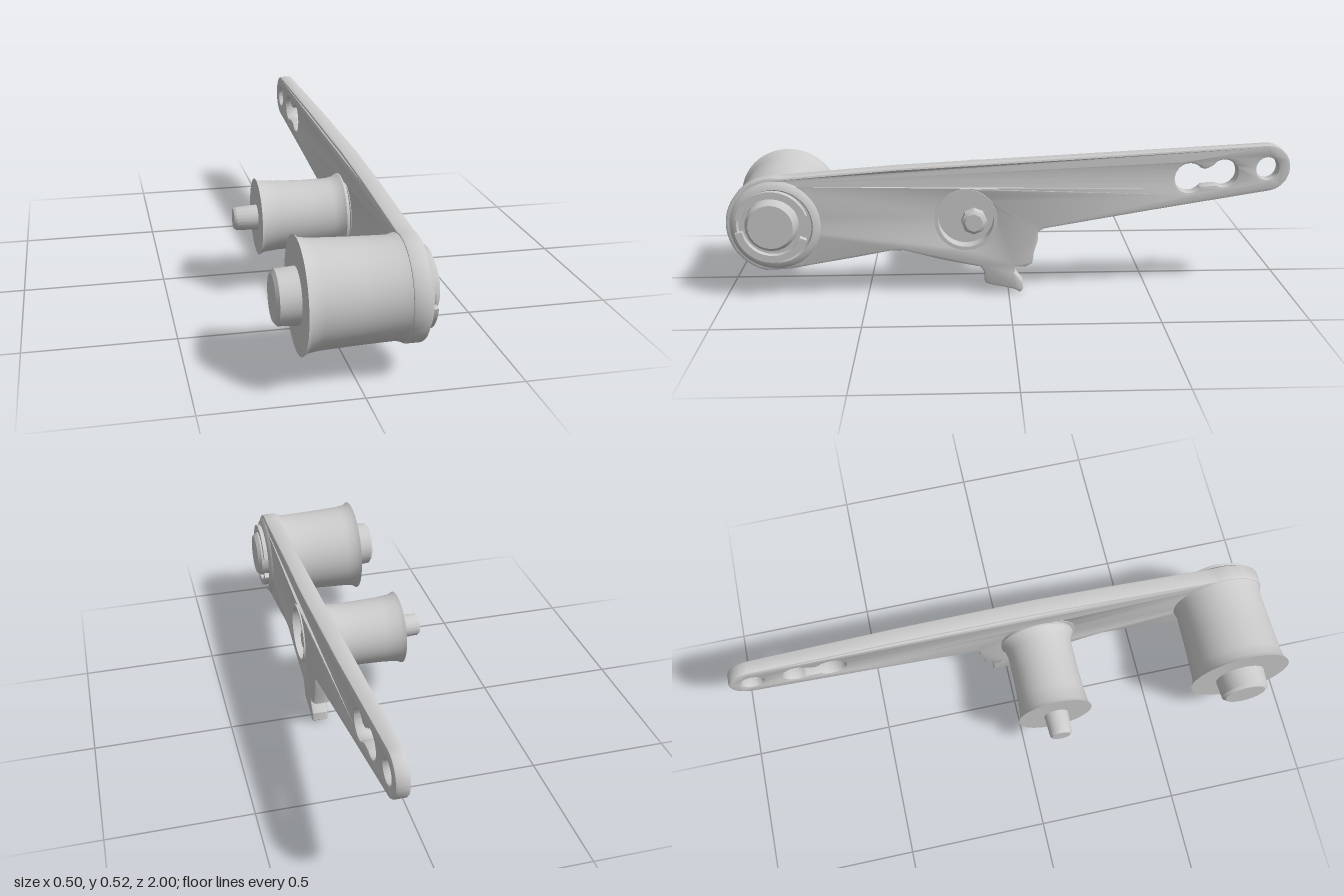
import * as THREE from 'three';
import { toCreasedNormals } from 'three/addons/utils/BufferGeometryUtils.js';

const material = new THREE.MeshStandardMaterial({ color: 0xcccccc });

function part(name, geometry, crease = 0.6) {
  const mesh = new THREE.Mesh(toCreasedNormals(geometry, crease), material);
  mesh.name = name;
  return mesh;
}

// Turned part along the x axis; profile is a list of [x, radius]
function turned(name, profile, y, z, sides = 40) {
  const g = new THREE.LatheGeometry(profile.map(([x, r]) => new THREE.Vector2(r, x)), sides);
  g.rotateZ(-Math.PI / 2);
  g.translate(0, y, z);
  return part(name, g);
}

function circleHole(s, y, r) {
  return new THREE.Path().absarc(s, y, r, 0, Math.PI * 2, true);
}

// Arm outline, drawn with s = -z to the right and y up
function armShape() {
  const shape = new THREE.Shape();
  shape.moveTo(-0.77, 0.1);
  [[-0.7, 0.113], [-0.55, 0.138], [-0.42, 0.162], [-0.37, 0.163], [-0.25, 0.13], [-0.15, 0.108], [-0.1, 0.098],
    [-0.088, 0.08], [-0.085, 0.04], [-0.07, 0.032], [0.02, 0.012], [0.04, 0.0], [0.052, 0.01],
    [0.05, 0.04], [0.022, 0.075], [0.025, 0.095], [0.06, 0.095], [0.085, 0.108], [0.09, 0.15],
    [0.103, 0.19], [0.105, 0.225], [0.125, 0.237], [0.5, 0.295]].forEach(([s, y]) => shape.lineTo(s, y));
  shape.absarc(0.916, 0.441, 0.084, -Math.PI * 0.45, Math.PI * 0.52, false);
  [[0.4, 0.502], [-0.1, 0.479], [-0.4, 0.463], [-0.75, 0.436]].forEach(([s, y]) => shape.lineTo(s, y));
  shape.absarc(-0.815, 0.263, 0.172, Math.PI * 0.45, Math.PI * 1.42, false);
  shape.closePath();

  // Two-lobed slot
  const slot = new THREE.Path();
  slot.absarc(0.64, 0.411, 0.053, -0.7, 0.75, true);
  slot.quadraticCurveTo(0.7, 0.436, 0.728, 0.46);
  slot.absarc(0.762, 0.426, 0.049, 2.35, -2.1, true);
  slot.quadraticCurveTo(0.7, 0.384, 0.68, 0.377);
  shape.holes.push(slot, circleHole(0.918, 0.44, 0.04), circleHole(-0.15, 0.275, 0.105));
  return shape;
}

function arm() {
  const bevel = 0.008, inner = 0.142, outer = 0.202;
  const g = new THREE.ExtrudeGeometry(armShape(), {
    depth: outer - inner - 2 * bevel, bevelThickness: bevel, bevelSize: bevel,
    bevelOffset: -bevel, bevelSegments: 2, curveSegments: 20,
  });
  g.rotateY(Math.PI / 2);
  g.translate(inner + bevel, 0, 0);
  // Lean the tail slightly sideways and thin it
  const p = g.attributes.position;
  for (let i = 0; i < p.count; i++) {
    const t = Math.max(0, -p.getZ(i) - 0.08) / 0.92;
    p.setX(i, p.getX(i) - t * (0.026 + 0.012 * (p.getX(i) - inner) / (outer - inner)));
  }
  return part('arm', g, 0.5);
}

// Raised curved rib on the face of the front hub
function hubRib(start, end) {
  const s = new THREE.Shape();
  s.absarc(0, 0, 0.128, start, end, false);
  s.absarc(0, 0, 0.103, end, start, true);
  const g = new THREE.ExtrudeGeometry(s, { depth: 0.03, bevelEnabled: false, curveSegments: 16 });
  g.rotateY(Math.PI / 2);
  g.translate(0.2, 0.263, 0.825);
  return part('hubRib', g);
}

export function createModel() {
  const group = new THREE.Group();
  group.add(arm());

  // Large front drum with its hub face and end cap
  group.add(turned('frontDrum', [[-0.17, 0], [-0.17, 0.184], [-0.155, 0.174], [-0.12, 0.169], [0, 0.164],
    [0.12, 0.161], [0.145, 0.168], [0.17, 0.172], [0.195, 0.165], [0.212, 0.148], [0.216, 0.132],
    [0.205, 0.126], [0.205, 0]], 0.263, 0.815, 48));
  group.add(turned('frontAxle', [[-0.245, 0], [-0.245, 0.074], [-0.235, 0.086], [-0.165, 0.09], [-0.165, 0]], 0.263, 0.815, 28));
  group.add(turned('hubCap', [[0.19, 0], [0.19, 0.094], [0.235, 0.09], [0.249, 0.078], [0.249, 0]], 0.27, 0.825, 24));
  group.add(hubRib(0.3, 2.9), hubRib(3.3, 5.9));

  // Smaller middle roller
  group.add(turned('middleRoller', [[-0.17, 0], [-0.17, 0.136], [-0.155, 0.128], [-0.1, 0.123], [0, 0.12],
    [0.09, 0.121], [0.115, 0.127], [0.13, 0.137], [0.148, 0.134], [0.148, 0]], 0.263, 0.115));
  group.add(turned('middleAxle', [[-0.254, 0], [-0.254, 0.035], [-0.245, 0.041], [-0.165, 0.045], [-0.165, 0]], 0.262, 0.118, 20));

  // Round recess in the arm: floor, raised rim and centre pin
  group.add(turned('recessFloor', [[0.14, 0], [0.14, 0.112], [0.155, 0.112], [0.155, 0]], 0.275, 0.15));
  group.add(turned('recessRim', [[0.15, 0.098], [0.15, 0.111], [0.207, 0.111], [0.207, 0.098], [0.15, 0.098]], 0.275, 0.15));
  group.add(turned('recessPin', [[0.15, 0], [0.15, 0.046], [0.188, 0.044], [0.196, 0.032], [0.196, 0]], 0.26, 0.122, 8));
  return group;
}
